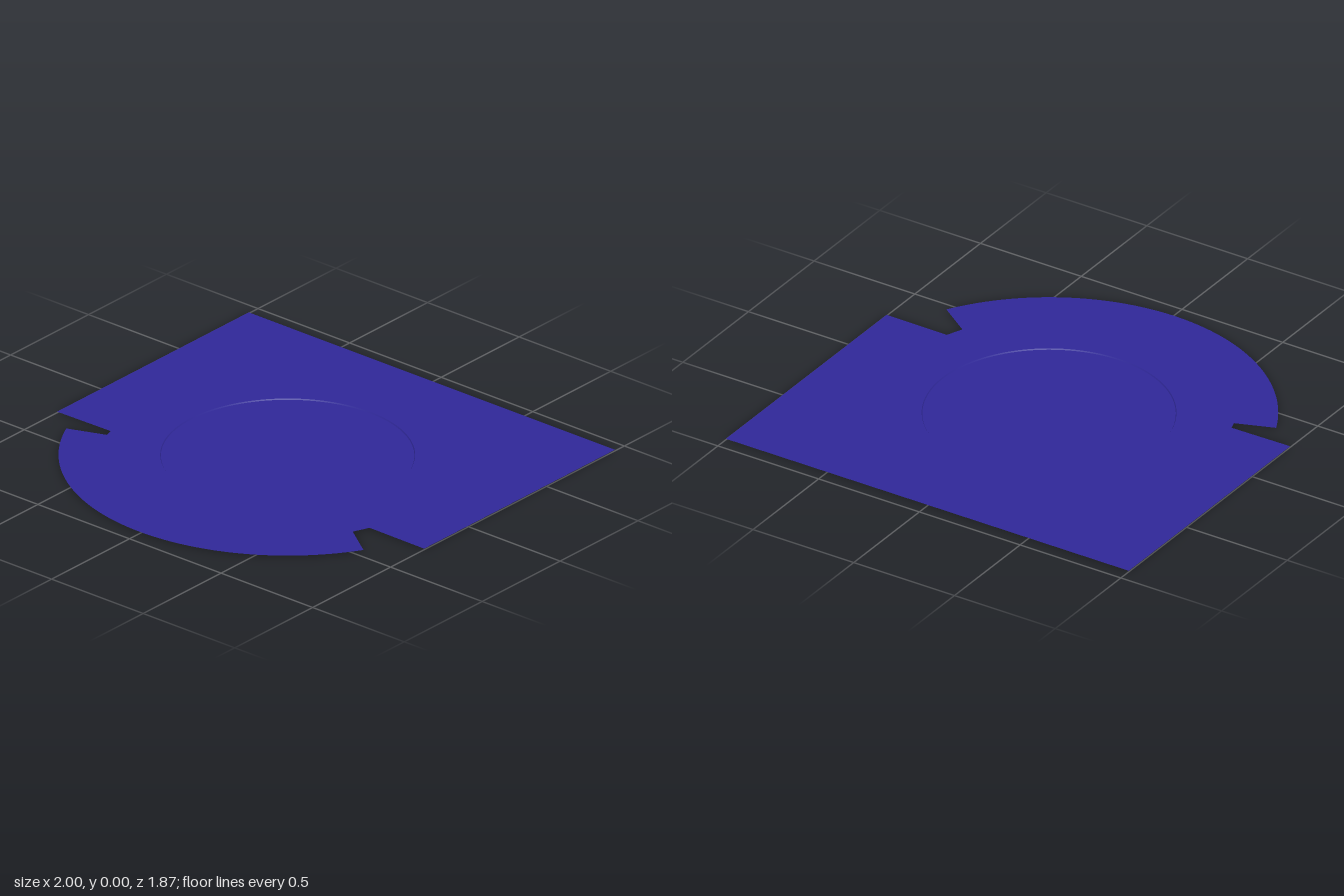
import * as THREE from 'three';

const CX = -0.007, CZ = -0.023;   // shared centre of the disc and the rounded apron
const DISC_R = 0.53, APRON_R = 0.953, STEP = 0.005;

export function createModel() {
  const group = new THREE.Group();
  const material = new THREE.MeshStandardMaterial({ color: 0x30289a, side: THREE.DoubleSide });

  const add = (name, geometry, x, y, z) => {
    const mesh = new THREE.Mesh(geometry, material);
    mesh.name = name;
    mesh.position.set(x, y, z);
    group.add(mesh);
  };

  // Flat surround: square back, notched sides, rounded front apron (outline as x, z)
  const outline = new THREE.Shape();
  const lineTo = (x, z) => outline.lineTo(x, -z);
  const angle = (x, z) => Math.atan2(-(z - CZ), x - CX);
  outline.moveTo(-1, 0.94);
  [[1, -0.94], [1, 0.285], [0.70, 0.282], [0.67, 0.355], [0.815, 0.457]].forEach(([x, z]) => lineTo(x, z));
  outline.absarc(CX, -CZ, APRON_R, angle(0.815, 0.457), angle(-0.876, 0.389), true);
  [[-0.70, 0.322], [-0.712, 0.285], [-1, 0.29]].forEach(([x, z]) => lineTo(x, z));
  outline.closePath();

  // Round opening for the disc
  const opening = new THREE.Path();
  opening.absarc(CX, -CZ, DISC_R, 0, Math.PI * 2, false);
  outline.holes.push(opening);
  add('surround', new THREE.ShapeGeometry(outline, 64).rotateX(-Math.PI / 2), 0, STEP, 0);

  // Shallow sunken disc and its thin rim wall
  add('disc', new THREE.CircleGeometry(DISC_R, 128).rotateX(-Math.PI / 2), CX, 0, CZ);
  add('discRim', new THREE.CylinderGeometry(DISC_R, DISC_R - 0.003, STEP, 128, 1, true), CX, STEP / 2, CZ);

  return group;
}
